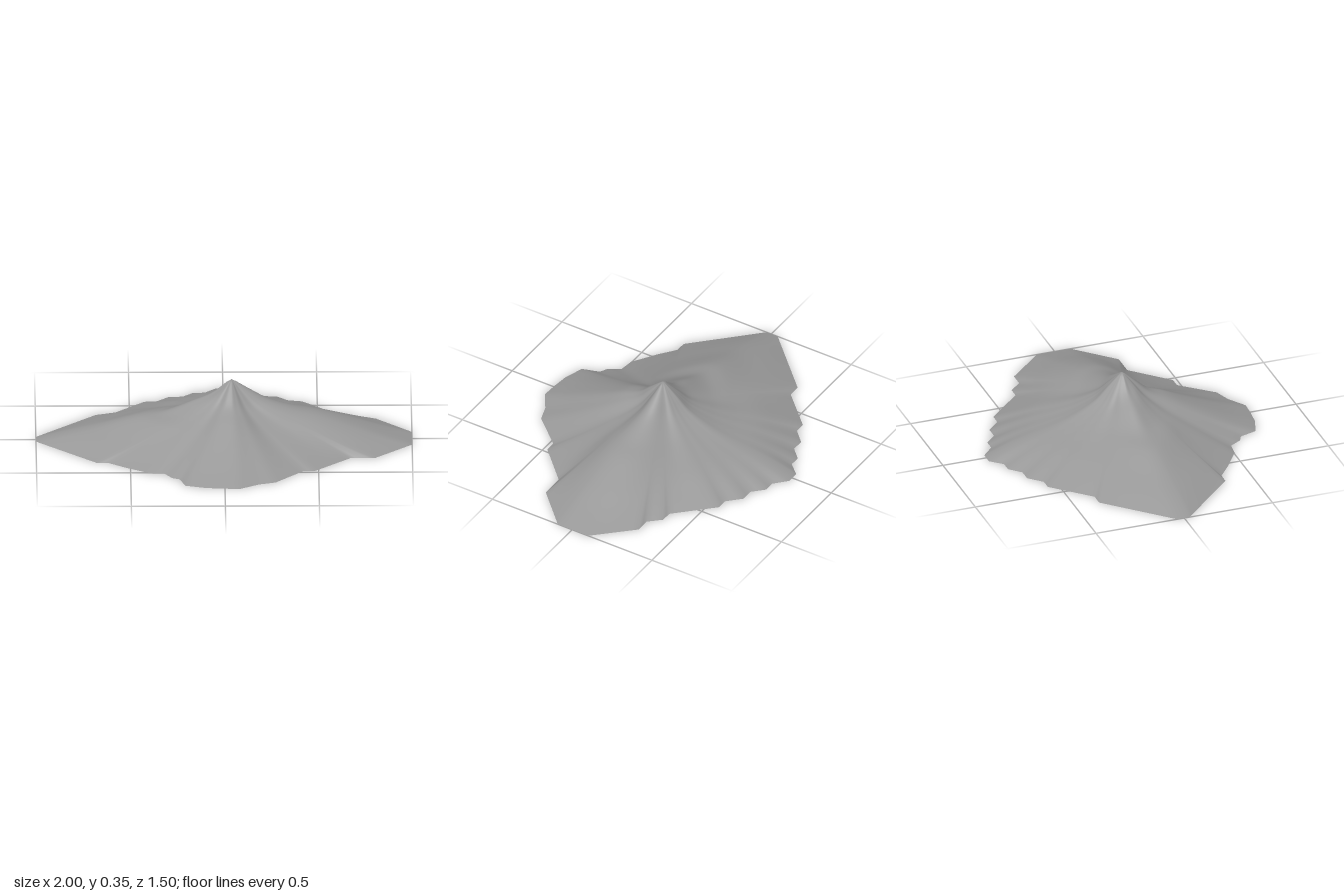
import * as THREE from 'three';

const PEAK = { x: 0.04, z: 0.03 };

// Stepped outer edge of the terrain, x and z pairs, going from +x towards +z
const EDGE = [
  [1, 0.09], [0.8, 0.29], [0.67, 0.29], [0.48, 0.48], [0.42, 0.48], [0.27, 0.65], [0.18, 0.68],
  [0.08, 0.745], [-0.01, 0.74], [-0.1, 0.73], [-0.21, 0.695], [-0.24, 0.6], [-0.28, 0.58],
  [-0.32, 0.515], [-0.4, 0.505], [-0.53, 0.42], [-0.62, 0.35], [-0.68, 0.35], [-1, 0.03],
  [-1, -0.04], [-0.68, -0.365], [-0.61, -0.365], [-0.42, -0.56], [-0.36, -0.56], [-0.29, -0.63],
  [-0.22, -0.63], [-0.16, -0.69], [-0.1, -0.69], [-0.04, -0.755], [0.03, -0.755], [0.1, -0.69],
  [0.16, -0.69], [0.22, -0.63], [0.29, -0.63], [0.36, -0.56], [0.42, -0.56], [0.61, -0.365],
  [0.67, -0.365], [0.73, -0.3], [0.81, -0.3], [1, -0.1],
];

// Heights from peak to edge at the fractions in STEPS, every 45 degrees from +x towards +z
const STEPS = [0, 0.1, 0.2, 0.35, 0.5, 0.7, 0.85, 1];
const SLOPES = [
  [0.353, 0.295, 0.24, 0.19, 0.157, 0.095, 0.045, 0],
  [0.353, 0.285, 0.22, 0.162, 0.12, 0.067, 0.032, 0],
  [0.353, 0.295, 0.235, 0.19, 0.14, 0.078, 0.036, 0],
  [0.353, 0.295, 0.235, 0.175, 0.13, 0.075, 0.036, 0],
  [0.353, 0.275, 0.23, 0.167, 0.14, 0.082, 0.043, 0],
  [0.353, 0.287, 0.215, 0.155, 0.115, 0.075, 0.038, 0],
  [0.353, 0.287, 0.215, 0.153, 0.112, 0.075, 0.042, 0],
  [0.353, 0.292, 0.225, 0.165, 0.125, 0.08, 0.04, 0],
];

// Smooth curve through one slope profile
function slopeHeight(h, s) {
  let i = 0;
  while (i < STEPS.length - 2 && s > STEPS[i + 1]) i++;
  const tangent = (k) => {
    if (k === 0) return -0.45;
    const a = k - 1, b = Math.min(k + 1, STEPS.length - 1);
    return (h[b] - h[a]) / (STEPS[b] - STEPS[a]);
  };
  const w = STEPS[i + 1] - STEPS[i], t = (s - STEPS[i]) / w, t2 = t * t, t3 = t2 * t;
  return (2 * t3 - 3 * t2 + 1) * h[i] + (t3 - 2 * t2 + t) * w * tangent(i)
    + (3 * t2 - 2 * t3) * h[i + 1] + (t3 - t2) * w * tangent(i + 1);
}

// Blend between the two nearest slope profiles
function heightAt(angle, s) {
  const u = ((angle / (Math.PI / 4)) % 8 + 8) % 8;
  const k = Math.floor(u) % 8, f = u - Math.floor(u), e = f * f * (3 - 2 * f);
  return slopeHeight(SLOPES[k], s) * (1 - e) + slopeHeight(SLOPES[(k + 1) % 8], s) * e;
}

// Edge points in polar form around the peak, each side cut into short pieces
function edgeRays() {
  const rays = [];
  EDGE.forEach(([x, z], i) => {
    const [nx, nz] = EDGE[(i + 1) % EDGE.length];
    const n = Math.max(1, Math.round(Math.hypot(nx - x, nz - z) / 0.035));
    for (let j = 0; j < n; j++) {
      const dx = x + (nx - x) * j / n - PEAK.x, dz = z + (nz - z) * j / n - PEAK.z;
      rays.push({ angle: Math.atan2(dz, dx), radius: Math.hypot(dx, dz) });
    }
  });
  // Average radius of nearby rays, so the steps stay at the rim
  for (const ray of rays) {
    let sum = 0, total = 0;
    for (const other of rays) {
      const d = Math.atan2(Math.sin(other.angle - ray.angle), Math.cos(other.angle - ray.angle));
      const weight = Math.exp(-((d / 0.09) ** 2));
      sum += weight * other.radius;
      total += weight;
    }
    ray.smooth = sum / total;
  }
  return rays;
}

function mountainGeometry() {
  const rays = edgeRays(), n = rays.length, rings = 36;
  const positions = [PEAK.x, 0.353, PEAK.z], index = [];
  for (let r = 1; r <= rings; r++) {
    const s = r / rings;
    for (const { angle, radius, smooth } of rays) {
      const d = s * (smooth + (radius - smooth) * s ** 4);
      positions.push(
        PEAK.x + Math.cos(angle) * d,
        Math.max(0, heightAt(angle, s)),
        PEAK.z + Math.sin(angle) * d,
      );
    }
  }
  for (let i = 0; i < n; i++) {
    const j = (i + 1) % n;
    index.push(0, 1 + j, 1 + i);
    for (let r = 0; r < rings - 1; r++) {
      const a = 1 + r * n + i, b = 1 + r * n + j;
      index.push(a, b, b + n, a, b + n, a + n);
    }
  }
  const geometry = new THREE.BufferGeometry();
  geometry.setAttribute('position', new THREE.Float32BufferAttribute(positions, 3));
  geometry.setIndex(index);
  geometry.computeVertexNormals();
  return geometry;
}

export function createModel() {
  const group = new THREE.Group();
  group.name = 'mountainTerrain';

  const rock = new THREE.MeshStandardMaterial({ color: 0x999999, side: THREE.DoubleSide });
  rock.name = 'rock grey';

  // Open mountain surface
  const mountain = new THREE.Mesh(mountainGeometry(), rock);
  mountain.name = 'mountain';
  group.add(mountain);
  return group;
}
